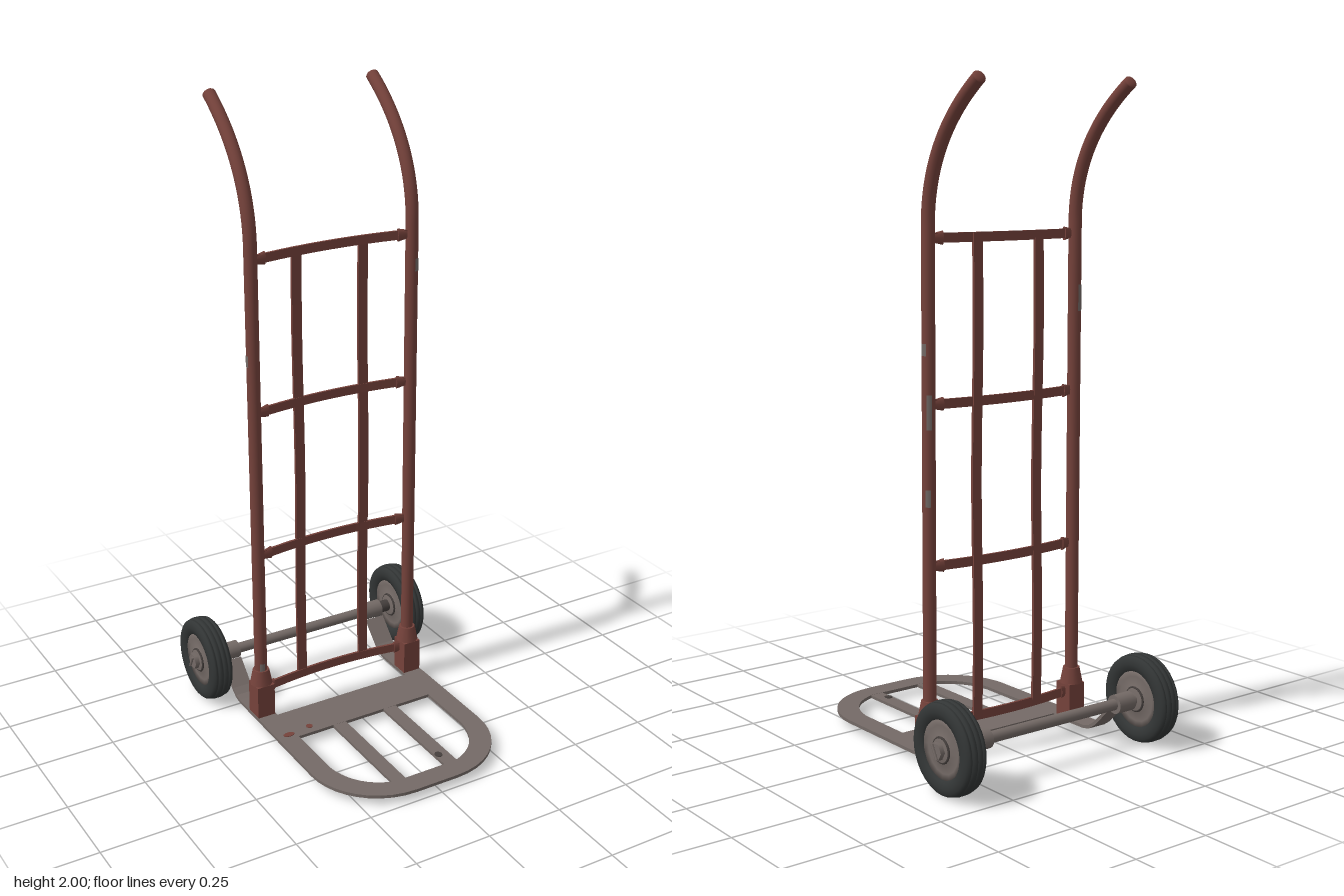
import * as THREE from 'three';

const mat = (name, color) => Object.assign(new THREE.MeshStandardMaterial({ color }), { name });

export function createModel() {
  const red = mat('red paint', 0x75423b);
  const steel = mat('bare steel', 0x746a66);
  const rubber = mat('black rubber', 0x323535);
  const dark = mat('dark grime', 0x453f3d);
  const root = new THREE.Group();
  root.name = 'handTruck';

  const CX = -0.0115, HALF = 0.2735, RAIL_Z = -0.124;   // frame centre, rail offset, rail depth
  const AXLE_Y = 0.138, AXLE_Z = -0.36;

  function add(name, geo, material, x = 0, y = 0, z = 0, parent = root) {
    const m = new THREE.Mesh(geo, material);
    m.name = name;
    m.position.set(x, y, z);
    parent.add(m);
    return m;
  }
  const box = (w, h, d) => new THREE.BoxGeometry(w, h, d);
  const rod = (r1, r2, len, sides = 16) =>
    new THREE.CylinderGeometry(r1, r2, len, sides).rotateZ(Math.PI / 2);

  // Flat strap: a 2D path thickened to both sides, then extruded to its width
  function strap(path, thick, width) {
    const a = [], b = [];
    path.forEach((p, i) => {
      const q = path[Math.max(i - 1, 0)], r = path[Math.min(i + 1, path.length - 1)];
      const dx = r[0] - q[0], dy = r[1] - q[1], l = Math.hypot(dx, dy);
      const nx = -dy / l * thick / 2, ny = dx / l * thick / 2;
      a.push(new THREE.Vector2(p[0] - nx, p[1] - ny));
      b.unshift(new THREE.Vector2(p[0] + nx, p[1] + ny));
    });
    return new THREE.ExtrudeGeometry(new THREE.Shape([...a, ...b]), { depth: width, bevelEnabled: false })
      .translate(0, 0, -width / 2);
  }

  // Side rails with swept-back handles, foot sockets and axle arms
  const V = (y, z) => new THREE.Vector3(0, y, z);
  const railPath = new THREE.CurvePath();
  railPath.add(new THREE.LineCurve3(V(0.04, RAIL_Z), V(1.58, RAIL_Z)));
  railPath.add(new THREE.CubicBezierCurve3(V(1.58, RAIL_Z), V(1.76, RAIL_Z), V(1.89, -0.225), V(1.982, -0.36)));
  const handlePath = railPath.curves[1];
  const tip = handlePath.getPoint(1), tipDir = handlePath.getTangent(1);
  for (const s of [-1, 1]) {
    const x = CX + s * HALF, side = s > 0 ? 'left' : 'right';
    add(side + 'Rail', new THREE.CylinderGeometry(0.02, 0.02, 1.54, 16, 1, true), red, x, 0.81, RAIL_Z);
    add(side + 'Handle', new THREE.TubeGeometry(handlePath, 24, 0.02, 16), red, x);
    const cap = add(side + 'HandleCap', new THREE.SphereGeometry(0.02, 16, 6, 0, Math.PI * 2, 0, Math.PI / 2), red, x, tip.y, tip.z);
    cap.quaternion.setFromUnitVectors(new THREE.Vector3(0, 1, 0), tipDir);
    cap.scale.y = 0.4;

    add(side + 'Socket', box(0.06, 0.115, 0.062), red, x, 0.087, -0.121);
    add(side + 'SocketCollar', new THREE.CylinderGeometry(0.026, 0.036, 0.05, 12), red, x, 0.169, RAIL_Z);

    // Arm runs back from the toe plate and curls up around the axle
    const arm = [[0.07, 0.03], [0.22, 0.03], [0.245, 0.036], [0.268, 0.052], [0.335, 0.118]];
    add(side + 'AxleArm', strap(arm, 0.01, 0.064).rotateY(Math.PI / 2), steel, x);
    add(side + 'AxleSleeve', rod(0.029, 0.029, 0.064), steel, x, AXLE_Y, AXLE_Z);
  }

  // Cross straps, bowed backwards, with flared weld ends
  const bow = x => -0.147 + 0.022 * (x / 0.25) ** 2;
  const bowPath = [];
  for (let i = 0; i <= 12; i++) {
    const x = -0.262 + 0.524 * i / 12;
    bowPath.push([x, -bow(x)]);
  }
  for (const y of [0.12, 0.595, 1.07, 1.545]) {
    add('crossStrap', strap(bowPath, 0.008, 0.028).rotateX(-Math.PI / 2), red, CX, y, 0);
    for (const s of [-1, 1]) {
      const flare = add('weldFlare', rod(s > 0 ? 0.021 : 0.013, s > 0 ? 0.013 : 0.021, 0.035, 10), red,
        CX + s * 0.243, y, -0.126);
      flare.scale.z = 0.4;
      flare.rotation.y = s * -0.16;
    }
  }

  // Two upright straps with a slight wave
  const wave = [];
  for (let i = 0; i <= 16; i++) {
    const y = 0.108 + 1.45 * i / 16;
    wave.push([0.144 + 0.004 * Math.sin(i / 16 * Math.PI * 3), y]);
  }
  for (const x of [-0.125, 0.102])
    add('uprightStrap', strap(wave, 0.009, 0.032).rotateY(Math.PI / 2), red, x, 0, 0);

  // Toe plate: rounded frame, solid rear panel, two ribs
  const L = -0.317, R = 0.295;
  const plate = new THREE.Shape();
  plate.moveTo(L, -0.08);
  plate.lineTo(R, -0.08);
  plate.lineTo(R, 0.26);
  plate.bezierCurveTo(R, 0.38, 0.2, 0.49, 0.06, 0.49);
  plate.lineTo(-0.082, 0.49);
  plate.bezierCurveTo(-0.222, 0.49, L, 0.38, L, 0.26);
  plate.closePath();
  const hole = new THREE.Path();
  hole.moveTo(-0.252, 0.063);
  hole.lineTo(-0.252, 0.26);
  hole.bezierCurveTo(-0.24, 0.35, -0.19, 0.4, -0.12, 0.422);
  hole.lineTo(0.098, 0.422);
  hole.bezierCurveTo(0.168, 0.4, 0.218, 0.35, 0.23, 0.26);
  hole.lineTo(0.23, 0.063);
  hole.closePath();
  plate.holes.push(hole);
  add('toePlate', new THREE.ExtrudeGeometry(plate, { depth: 0.01, bevelEnabled: false, curveSegments: 10 })
    .rotateX(Math.PI / 2), steel, 0, 0.035, 0);
  for (const x of [-0.105, 0.081])
    add('toeRib', box(0.046, 0.009, 0.38), steel, x, 0.03, 0.243);

  // Worn spots on the toe plate and rails
  const spot = (name, m, x, z, rx, rz) =>
    add(name, new THREE.CylinderGeometry(1, 1, 0.002, 9), m, x, 0.036, z).scale.set(rx, 1, rz);
  spot('paintSpot', red, -0.275, 0.04, 0.019, 0.011);
  spot('paintSpot', red, -0.196, 0.03, 0.011, 0.011);
  spot('grimeSpot', dark, 0.07, 0.37, 0.012, 0.014);
  for (const [s, y, h, turn] of [[1, 1.45, 0.04, 0.4], [1, 1.23, 0.035, 1.8], [-1, 0.2, 0.04, -0.2],
    [-1, 1.24, 0.035, -1.6], [1, 1.05, 0.1, 2.6], [1, 0.8, 0.05, 2.4], [-1, 1.35, 0.08, 3.4]])
    add('paintChip', new THREE.CylinderGeometry(0.0212, 0.0212, h, 6, 1, true, turn - 0.4, 0.8), steel,
      CX + s * HALF, y, RAIL_Z);

  // Axle with end nuts
  add('axle', rod(0.017, 0.017, 0.83), steel, 0, AXLE_Y, AXLE_Z);
  for (const s of [-1, 1]) {
    add('axleNut', rod(0.026, 0.026, 0.014, 6), steel, s * 0.408, AXLE_Y, AXLE_Z);
    add('axleWasher', rod(0.02, 0.02, 0.03, 12), s > 0 ? dark : steel, s * 0.314, AXLE_Y, AXLE_Z);
    add('cotterPin', new THREE.CylinderGeometry(0.004, 0.004, 0.046, 6), steel, s * 0.419, AXLE_Y, AXLE_Z)
      .rotation.x = 0.5;
  }

  // Wheels: grooved tyre and dished hub
  const v2 = list => list.map(([r, h]) => new THREE.Vector2(r, h));
  const half = [[0.084, -0.024], [0.09, -0.033], [0.108, -0.0375], [0.124, -0.035], [0.132, -0.028],
    [0.134, -0.022], [0.129, -0.02], [0.129, -0.016], [0.136, -0.014], [0.137, -0.004], [0.131, -0.002]];
  const tyre = v2([...half, ...half.map(([r, h]) => [r, -h]).reverse()]);
  const dish = [[0, -0.034], [0.034, -0.034], [0.038, -0.027], [0.07, -0.023], [0.088, -0.027]];
  const hub = v2([...dish, ...dish.map(([r, h]) => [r, -h]).reverse()]);
  for (const s of [-1, 1]) {
    const wheel = new THREE.Group();
    wheel.name = s > 0 ? 'leftWheel' : 'rightWheel';
    wheel.position.set(s * 0.366, AXLE_Y, AXLE_Z);
    root.add(wheel);
    add('tyre', new THREE.LatheGeometry(tyre, 32).rotateZ(Math.PI / 2), rubber, 0, 0, 0, wheel);
    add('hub', new THREE.LatheGeometry(hub, 16).rotateZ(Math.PI / 2), steel, 0, 0, 0, wheel);
    for (const f of [-1, 1])
      add('hubRing', new THREE.TorusGeometry(0.036, 0.004, 6, 20).rotateY(Math.PI / 2), dark, f * 0.029, 0, 0, wheel);
  }
  return root;
}
